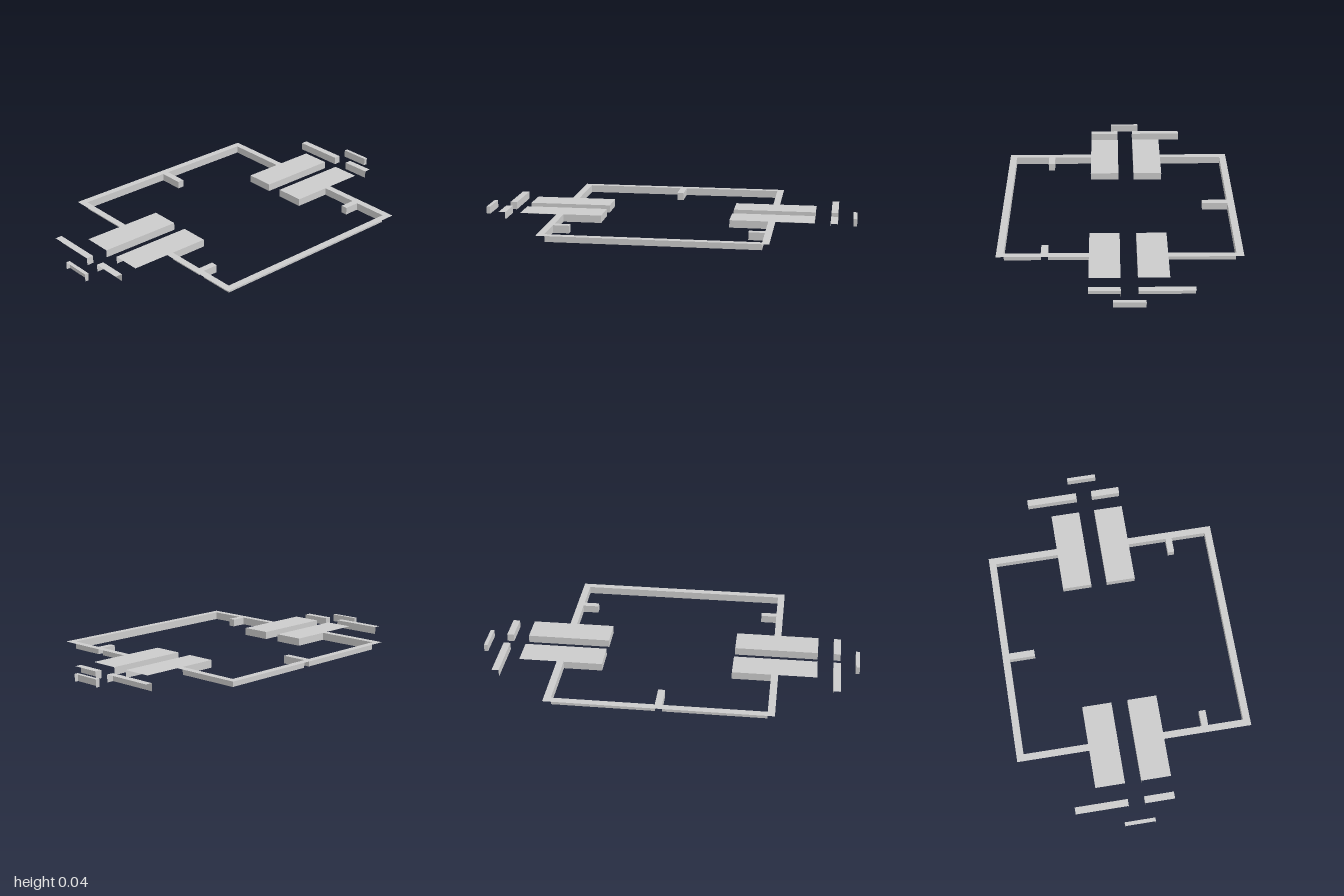
import * as THREE from 'three';

const HEIGHT = 0.04;
const material = new THREE.MeshStandardMaterial({ color: 0xcccccc, side: THREE.DoubleSide, flatShading: true });

// A flat top over the whole outline, with walls hanging only along its walled stretch.
// Points are [x, z]; the outline is walled + open, closed back to the start.
function slab(name, walled, open = []) {
  const group = new THREE.Group();
  group.name = name;
  const points = [...walled, ...open].map(([x, z]) => new THREE.Vector2(x, -z));
  const topGeometry = new THREE.ShapeGeometry(new THREE.Shape(points));
  topGeometry.rotateX(-Math.PI / 2).translate(0, HEIGHT, 0);
  const top = new THREE.Mesh(topGeometry, material);
  top.name = name + 'Top';

  // Walls face away from the slab, whichever way the outline runs
  const path = [...walled];
  if (THREE.ShapeUtils.area(points) < 0) path.reverse();
  const positions = [];
  for (let i = 0; i + 1 < path.length; i++) {
    const [ax, az] = path[i];
    const [bx, bz] = path[i + 1];
    positions.push(ax, 0, az, bx, 0, bz, bx, HEIGHT, bz);
    positions.push(ax, 0, az, bx, HEIGHT, bz, ax, HEIGHT, az);
  }
  const wallGeometry = new THREE.BufferGeometry();
  wallGeometry.setAttribute('position', new THREE.Float32BufferAttribute(positions, 3));
  wallGeometry.computeVertexNormals();
  const walls = new THREE.Mesh(wallGeometry, material);
  walls.name = name + 'Walls';
  group.add(top, walls);
  return group;
}

// Extends a path given on +x with its mirror image on -x
const mirrored = (half) => [...half, ...half.map(([x, z]) => [-x, z]).reverse()];

export function createModel() {
  const model = new THREE.Group();
  model.name = 'floorPlan';

  // Back half: two wide blocks, the frame and a middle stub
  model.add(slab('backFrame',
    mirrored([[0.78, -0.085], [0.34, -0.085], [0.34, -0.24], [0.543, -0.24],
      [0.543, -0.58], [0.018, -0.58], [0.018, -0.445]]),
    mirrored([[-0.78, -0.24], [-0.58, -0.24], [-0.58, -0.617]])));

  // Front half: two wide blocks, the frame and a stub on each side
  model.add(slab('frontFrame',
    mirrored([[0.78, 0], [0.34, 0], [0.34, 0.155], [0.543, 0.155], [0.543, 0.36],
      [0.46, 0.36], [0.46, 0.395], [0.543, 0.395], [0.543, 0.58]]),
    mirrored([[-0.78, 0.155], [-0.58, 0.155], [-0.58, 0.617]])));

  // Loose side strips, walled on the inner side and at the gap
  for (const [side, s] of [['left', 1], ['right', -1]]) {
    const a = 0.863 * s, b = 0.9 * s, c = 0.98 * s, d = s;
    model.add(slab(side + 'BackStrip', [[b, -0.085], [a, -0.085], [a, -0.36]], [[b, -0.36]]));
    model.add(slab(side + 'FrontStrip', [[b, 0], [a, 0], [a, 0.155]], [[b, 0.155]]));
    model.add(slab(side + 'OuterStrip', [[d, -0.12], [c, -0.12], [c, 0.038], [d, 0.038]]));
  }
  return model;
}
